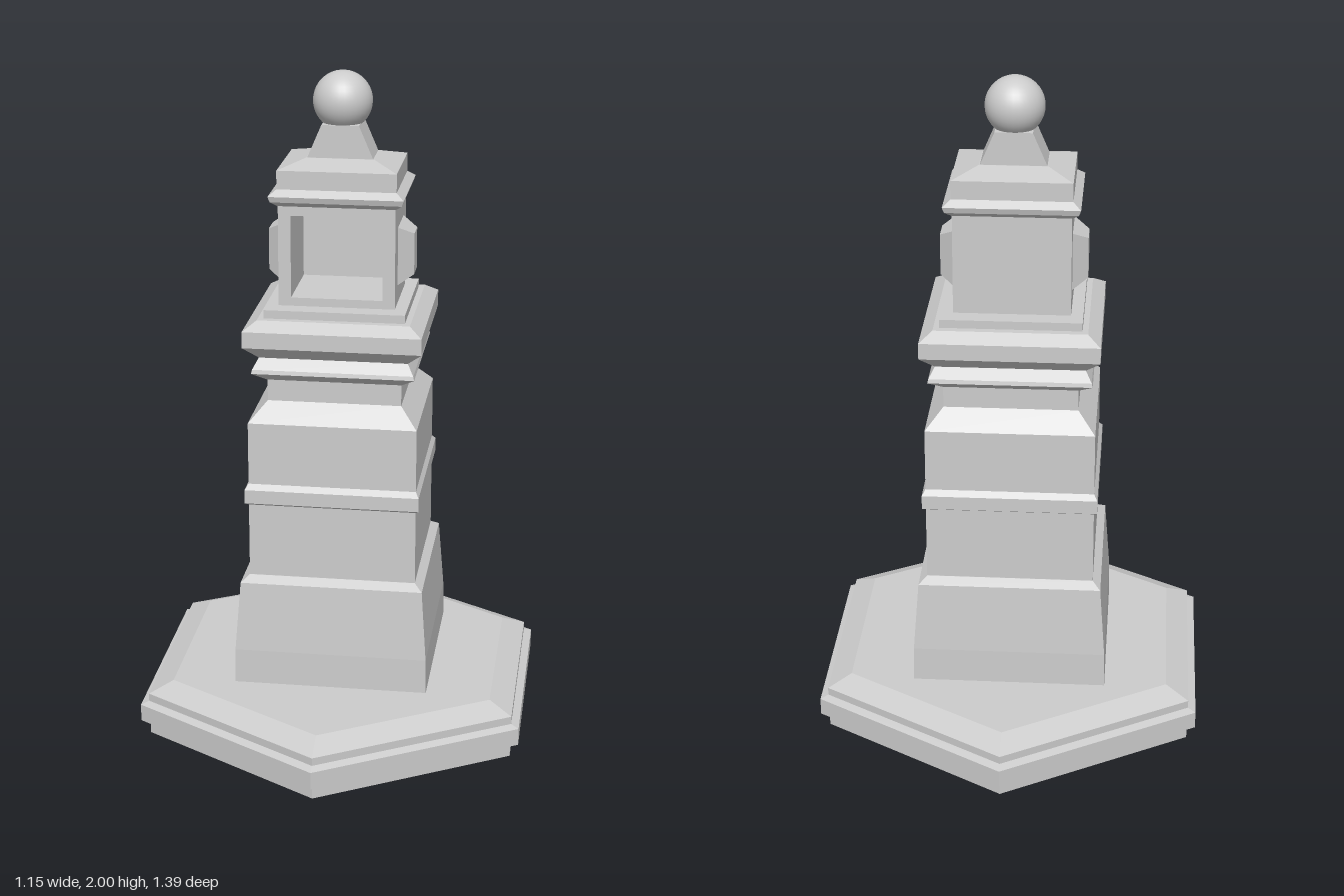
import * as THREE from 'three';

const flat = new THREE.MeshStandardMaterial({ color: 0xcccccc, flatShading: true });
const smooth = new THREE.MeshStandardMaterial({ color: 0xcccccc });

// Unit outlines, counter-clockwise seen from above, as [x, z]
const SQUARE = [[-1, 1], [1, 1], [1, -1], [-1, -1]];
const HEXAGON = [[0, 1], [1, 0.5], [1, -0.5], [0, -1], [-1, -0.5], [-1, 0.5]];

// Solid lofted through rows of [y, half width, half depth]
function loft(name, outline, rows) {
  const pos = [];
  const n = outline.length;
  const at = ([y, w, d], i) => [outline[i % n][0] * w, y, outline[i % n][1] * d];
  const tri = (a, b, c) => pos.push(...a, ...b, ...c);
  for (let r = 0; r < rows.length - 1; r++) {
    const lo = rows[r], hi = rows[r + 1];
    for (let i = 0; i < n; i++) {
      tri(at(lo, i), at(lo, i + 1), at(hi, i + 1));
      tri(at(lo, i), at(hi, i + 1), at(hi, i));
    }
  }
  const bottom = rows[0], top = rows[rows.length - 1];
  for (let i = 1; i < n - 1; i++) {
    tri(at(top, 0), at(top, i), at(top, i + 1));
    tri(at(bottom, 0), at(bottom, i + 1), at(bottom, i));
  }
  const geo = new THREE.BufferGeometry();
  geo.setAttribute('position', new THREE.Float32BufferAttribute(pos, 3));
  geo.computeVertexNormals();
  const mesh = new THREE.Mesh(geo, flat);
  mesh.name = name;
  return mesh;
}

function rect(Type, x0, y0, x1, y1) {
  const p = new Type();
  p.moveTo(x0, y0);
  p.lineTo(x1, y0);
  p.lineTo(x1, y1);
  p.lineTo(x0, y1);
  p.closePath();
  return p;
}

// Box chamber with a deep opening in the front
function chamber() {
  const g = new THREE.Group();
  g.name = 'chamber';
  const wall = rect(THREE.Shape, -0.172, 1.32, 0.172, 1.635);
  wall.holes.push(rect(THREE.Path, -0.135, 1.35, 0.135, 1.597));
  const walls = new THREE.Mesh(
    new THREE.ExtrudeGeometry(wall, { depth: 0.245, bevelEnabled: false }), flat);
  walls.name = 'chamberWalls';
  walls.position.z = -0.105;
  const back = new THREE.Mesh(new THREE.BoxGeometry(0.344, 0.315, 0.035), flat);
  back.name = 'chamberBack';
  back.position.set(0, 1.4775, -0.1225);
  g.add(walls, back);
  return g;
}

export function createModel() {
  const model = new THREE.Group();
  model.name = 'monument';

  // Six-sided plinth
  model.add(loft('plinth', HEXAGON, [
    [0, 0.552, 0.665], [0.035, 0.552, 0.665], [0.047, 0.577, 0.695], [0.1, 0.577, 0.695],
    [0.108, 0.554, 0.667], [0.132, 0.554, 0.667], [0.163, 0.485, 0.585],
  ]));

  const tower = new THREE.Group();
  tower.name = 'tower';
  tower.position.set(-0.003, 0, -0.018);
  model.add(tower);

  // Flared foot, shaft with band, and shoulder
  tower.add(loft('foot', SQUARE, [
    [0.16, 0.293, 0.293], [0.27, 0.291, 0.291], [0.485, 0.275, 0.274], [0.503, 0.251, 0.246],
  ]));
  tower.add(loft('shaft', SQUARE, [
    [0.5, 0.251, 0.245], [0.73, 0.251, 0.245], [0.74, 0.261, 0.262], [0.782, 0.261, 0.262],
    [0.797, 0.251, 0.245], [0.988, 0.251, 0.245], [1.045, 0.199, 0.191], [1.11, 0.199, 0.191],
  ]));

  // Main cornice and ledge
  tower.add(loft('cornice', SQUARE, [
    [1.11, 0.2, 0.192], [1.14, 0.241, 0.236], [1.152, 0.238, 0.233], [1.185, 0.22, 0.215],
    [1.225, 0.263, 0.257], [1.274, 0.263, 0.257], [1.3, 0.225, 0.218],
  ]));
  tower.add(loft('ledge', SQUARE, [[1.295, 0.208, 0.196], [1.325, 0.208, 0.196]]));

  tower.add(chamber());

  // Tapered boss on each side of the chamber
  for (const side of [1, -1]) {
    const boss = loft(side > 0 ? 'leftBoss' : 'rightBoss', SQUARE,
      [[0.165, 0.0875, 0.074], [0.172, 0.0875, 0.074], [0.217, 0.062, 0.038]]);
    boss.rotation.z = -side * Math.PI / 2;
    boss.position.set(0, 1.467, -0.003);
    tower.add(boss);
  }

  // Roof moulding, roof slope and finial
  tower.add(loft('roof', SQUARE, [
    [1.625, 0.173, 0.141], [1.64, 0.192, 0.16], [1.657, 0.198, 0.165], [1.675, 0.175, 0.142],
    [1.73, 0.175, 0.142], [1.753, 0.1, 0.064],
  ]));
  tower.add(loft('finialBase', SQUARE, [[1.75, 0.098, 0.062], [1.85, 0.055, 0.062]]));
  const ball = new THREE.Mesh(new THREE.SphereGeometry(0.0875, 32, 20), smooth);
  ball.name = 'finialBall';
  ball.position.y = 1.9125;
  tower.add(ball);

  return model;
}
